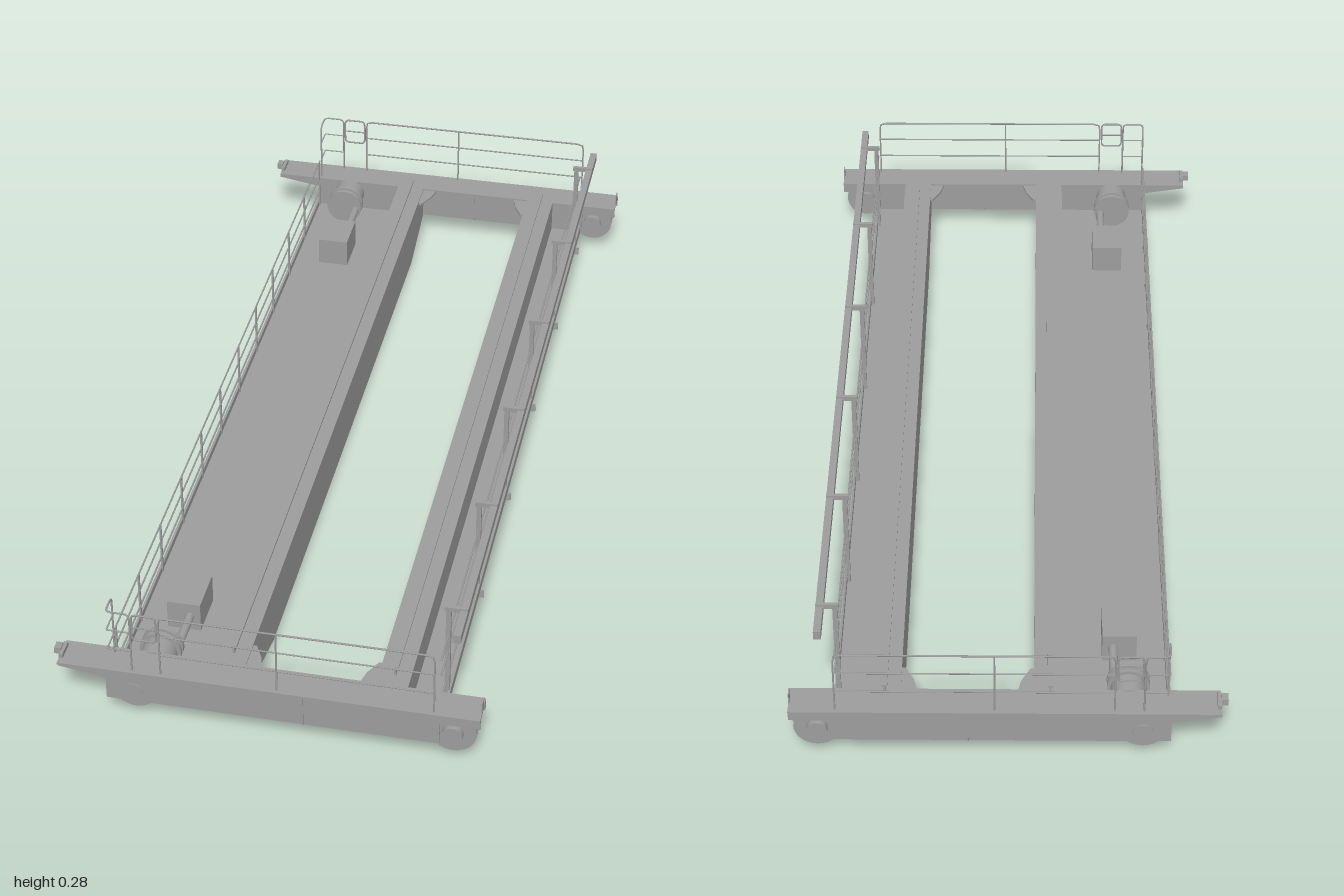
import * as THREE from 'three';

const mat = new THREE.MeshStandardMaterial({ color: 0x9d9d9d, side: THREE.DoubleSide });

function add(parent, name, geo) {
  const m = new THREE.Mesh(geo, mat);
  m.name = name;
  parent.add(m);
  return m;
}
// Box given by its limits on each axis
function box(parent, name, x0, x1, y0, y1, z0, z1) {
  const m = add(parent, name, new THREE.BoxGeometry(x1 - x0, y1 - y0, z1 - z0));
  m.position.set((x0 + x1) / 2, (y0 + y1) / 2, (z0 + z1) / 2);
}
// Cylinder with its axis along z
function drum(parent, name, x, y, z, r, len, seg = 32) {
  const m = add(parent, name, new THREE.CylinderGeometry(r, r, len, seg).rotateX(Math.PI / 2));
  m.position.set(x, y, z);
}
function plate(points, depth) {
  const shape = new THREE.Shape(points.map(p => new THREE.Vector2(...p)));
  return new THREE.ExtrudeGeometry(shape, { depth, bevelEnabled: false });
}
// Handrail through points, with rounded corners
function pipe(parent, name, pts, r = 0.002, corner = 0.012, closed = false) {
  const v = pts.map(p => new THREE.Vector3(...p));
  const path = new THREE.CurvePath();
  const n = v.length;
  const toward = (a, b) => a.clone().add(b.clone().sub(a).setLength(corner));
  let last = closed ? toward(v[0], v[1]) : v[0];
  for (let i = 1; i < (closed ? n + 1 : n - 1); i++) {
    const c = v[i % n], a = toward(c, v[i - 1]), b = toward(c, v[(i + 1) % n]);
    path.add(new THREE.LineCurve3(last, a));
    path.add(new THREE.QuadraticBezierCurve3(a, c, b));
    last = b;
  }
  if (!closed) path.add(new THREE.LineCurve3(last, v[n - 1]));
  add(parent, name, new THREE.TubeGeometry(path, n > 2 ? 60 : 1, r, 6, closed));
}

// Box girder with raised ends and a crane rail on top
function girder(name, x) {
  const g = new THREE.Group();
  g.name = name;
  const profile = [[-0.94, 0.052], [-0.78, 0], [0.7, 0], [0.94, 0.055], [0.94, 0.125], [-0.94, 0.125]];
  add(g, 'girderBox', plate(profile, 0.064).rotateY(-Math.PI / 2)).position.x = x + 0.032;
  box(g, 'railWeb', x - 0.002, x + 0.002, 0.125, 0.14, -0.94, 0.9);
  box(g, 'railHead', x - 0.006, x + 0.006, 0.139, 0.143, -0.94, 0.9);
  return g;
}

// End carriage with wheels, buffers, handrail and gate, at the +z end
function endCarriage() {
  const g = new THREE.Group();
  g.name = 'endCarriage';
  const side = [[-0.322, 0.1], [-0.322, 0.05], [0.35, 0.05], [0.35, 0.1], [0.43, 0.1],
    [0.43, 0.125], [-0.42, 0.125], [-0.42, 0.115]];
  for (const z of [0.932, 0.99]) add(g, 'sidePlate', plate(side, 0.006)).position.z = z;
  box(g, 'topPlate', -0.42, 0.43, 0.12, 0.125, 0.93, 1);
  box(g, 'bottomPlate', -0.21, 0.33, 0.05, 0.055, 0.934, 0.994);
  box(g, 'splicePlate', 0.077, 0.079, 0.05, 0.125, 0.93, 0.999);
  for (const x of [-0.267, 0.375]) {
    drum(g, 'wheel', x, 0.073, 0.965, 0.045, 0.034);
    for (const z of [0.95, 0.98]) drum(g, 'wheelFlange', x, 0.073, z, 0.047, 0.006);
    drum(g, 'wheelHub', x, 0.073, 0.965, 0.021, 0.066);
  }
  box(g, 'buffer', -0.433, -0.419, 0.125, 0.139, 0.953, 0.973);
  box(g, 'bufferBracket', -0.42, -0.412, 0.115, 0.135, 0.945, 0.985);
  box(g, 'endStop', 0.428, 0.43, 0.125, 0.148, 0.955, 0.975);

  // Handrail with a return on the walkway side
  const z = 0.99, zi = 0.945, base = 0.125, top = 0.265;
  pipe(g, 'handrailReturn', [[-0.316, base, zi], [-0.316, top, zi], [-0.316, top, z],
    [-0.268, top, z], [-0.268, base, z]]);
  pipe(g, 'handrail', [[-0.21, base, z], [-0.21, top, z], [0.338, top, z], [0.338, base, z]]);
  for (const y of [0.172, 0.219]) {
    pipe(g, 'handrailBar', [[-0.316, y, zi], [-0.316, y, z], [-0.268, y, z]], 0.0016, 0.003);
    pipe(g, 'handrailBar', [[-0.21, y, z], [0.338, y, z]], 0.0016);
  }
  pipe(g, 'handrailPost', [[0.025, base, z], [0.025, top, z]]);
  pipe(g, 'gate', [[-0.264, 0.203, z], [-0.264, top, z], [-0.215, top, z], [-0.215, 0.203, z]], 0.002, 0.01, true);
  pipe(g, 'gateBar', [[-0.264, 0.234, z], [-0.215, 0.234, z]], 0.0016);

  // Gussets tying the carriage to the girders
  for (const [x, s] of [[-0.053, 1], [0.212, -1]]) {
    const pts = [[0, 0.935], [0.034, 0.935], [0.026, 0.9], [0.008, 0.865], [0, 0.865]].map(p => [x + s * p[0], p[1]]);
    add(g, 'gussetPlate', plate(pts, 0.005).rotateX(Math.PI / 2)).position.y = 0.122;
  }

  // Travel drive: gearbox, flanges, shaft and motor housing
  drum(g, 'gearbox', -0.24, 0.092, 0.905, 0.036, 0.06);
  for (const fz of [0.865, 0.882]) drum(g, 'driveFlange', -0.24, 0.092, fz, 0.043, 0.01);
  drum(g, 'driveCoupling', -0.24, 0.092, 0.873, 0.034, 0.012);
  drum(g, 'driveShaft', -0.212, 0.085, 0.805, 0.009, 0.11, 16);
  box(g, 'motorHousing', -0.26, -0.19, 0.05, 0.115, 0.66, 0.76);
  return g;
}

// Wide service walkway with low handrail
function walkway() {
  const g = new THREE.Group();
  g.name = 'walkway';
  box(g, 'deck', -0.32, -0.114, 0.046, 0.05, -0.935, 0.935);
  box(g, 'toeBoard', -0.323, -0.318, 0.04, 0.064, -0.935, 0.935);
  for (let i = 0; i <= 11; i++) {
    const z = -0.924 + i * 0.168;
    box(g, 'deckRib', -0.32, -0.114, 0.04, 0.047, z - 0.003, z + 0.003);
    box(g, 'walkwayPost', -0.32, -0.316, 0.045, 0.172, z - 0.0025, z + 0.0025);
  }
  for (const y of [0.09, 0.13, 0.172])
    pipe(g, 'walkwayRail', [[-0.318, y, -0.935], [-0.318, y, 0.935]], 0.0018);
  return g;
}

// Narrow ledge with brackets and posts that carry the supply track
function supplySide() {
  const g = new THREE.Group();
  g.name = 'supplySide';
  box(g, 'ledge', 0.272, 0.345, 0.046, 0.05, -0.935, 0.935);
  box(g, 'ledgeEdge', 0.342, 0.347, 0.046, 0.068, -0.935, 0.935);
  for (let i = 0; i < 6; i++) {
    const z = -0.855 + i * 0.342;
    const arm = [[0.27, 0.015], [0.355, 0.032], [0.355, 0.05], [0.27, 0.05]];
    add(g, 'bracket', plate(arm, 0.003)).position.z = z - 0.0015;
    box(g, 'trackPost', 0.335, 0.345, 0.05, 0.278, z - 0.004, z + 0.004);
    box(g, 'trackArm', 0.332, 0.378, 0.27, 0.28, z - 0.004, z + 0.004);
  }
  box(g, 'supplyTrack', 0.363, 0.378, 0.257, 0.276, -0.935, 0.935);
  for (const y of [0.1, 0.165, 0.205]) pipe(g, 'guardRail', [[0.34, y, -0.93], [0.34, y, 0.93]], 0.0018);
  return g;
}

export function createModel() {
  const model = new THREE.Group();
  model.name = 'bridgeCrane';
  model.add(girder('walkwayGirder', -0.084), girder('supplyGirder', 0.243));
  const front = endCarriage(), back = endCarriage();
  back.scale.z = -1;
  front.name = 'frontEndCarriage';
  back.name = 'backEndCarriage';
  model.add(front, back, walkway(), supplySide());
  return model;
}
